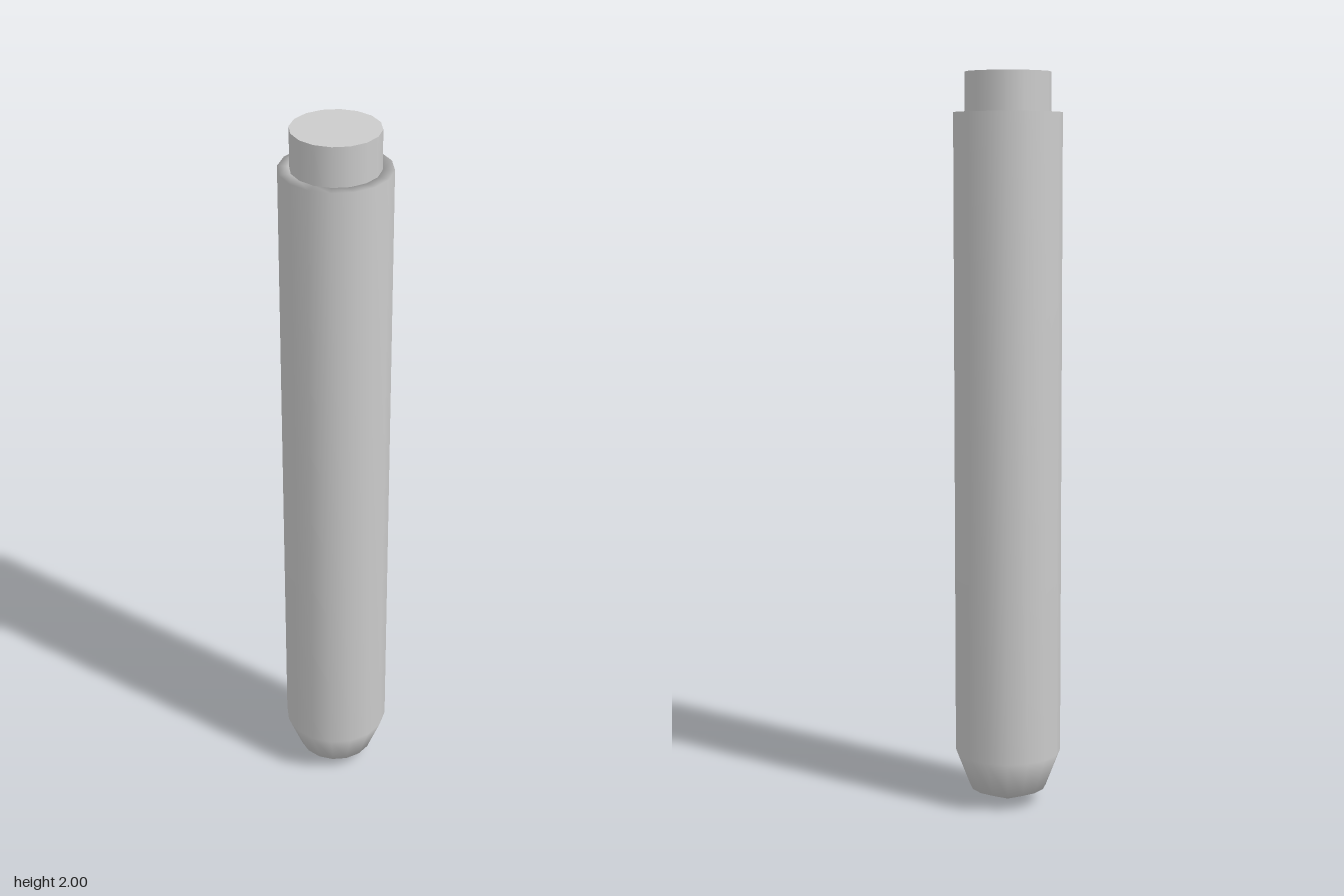
import * as THREE from 'three';

const SIDES = 16;

export function createModel() {
  const group = new THREE.Group();
  const material = new THREE.MeshStandardMaterial({ color: 0xcccccc });

  // Long barrel: blunt pointed tip, straight wall, flat rim and a short socket
  const profile = [
    [0, 0.005], [0.105, 0.047], [0.145, 0.15],
    [0.145, 1.895], [0.115, 1.895], [0.115, 1.8],
  ].map(([r, y]) => new THREE.Vector2(r, y));
  const barrel = new THREE.Mesh(new THREE.LatheGeometry(profile, SIDES), material);
  barrel.name = 'barrel';
  group.add(barrel);

  // Plug seated in the socket, standing proud of the rim
  const plug = new THREE.Mesh(new THREE.CylinderGeometry(0.115, 0.115, 0.2, SIDES), material);
  plug.name = 'endPlug';
  plug.position.y = 1.9;
  group.add(plug);

  return group;
}
